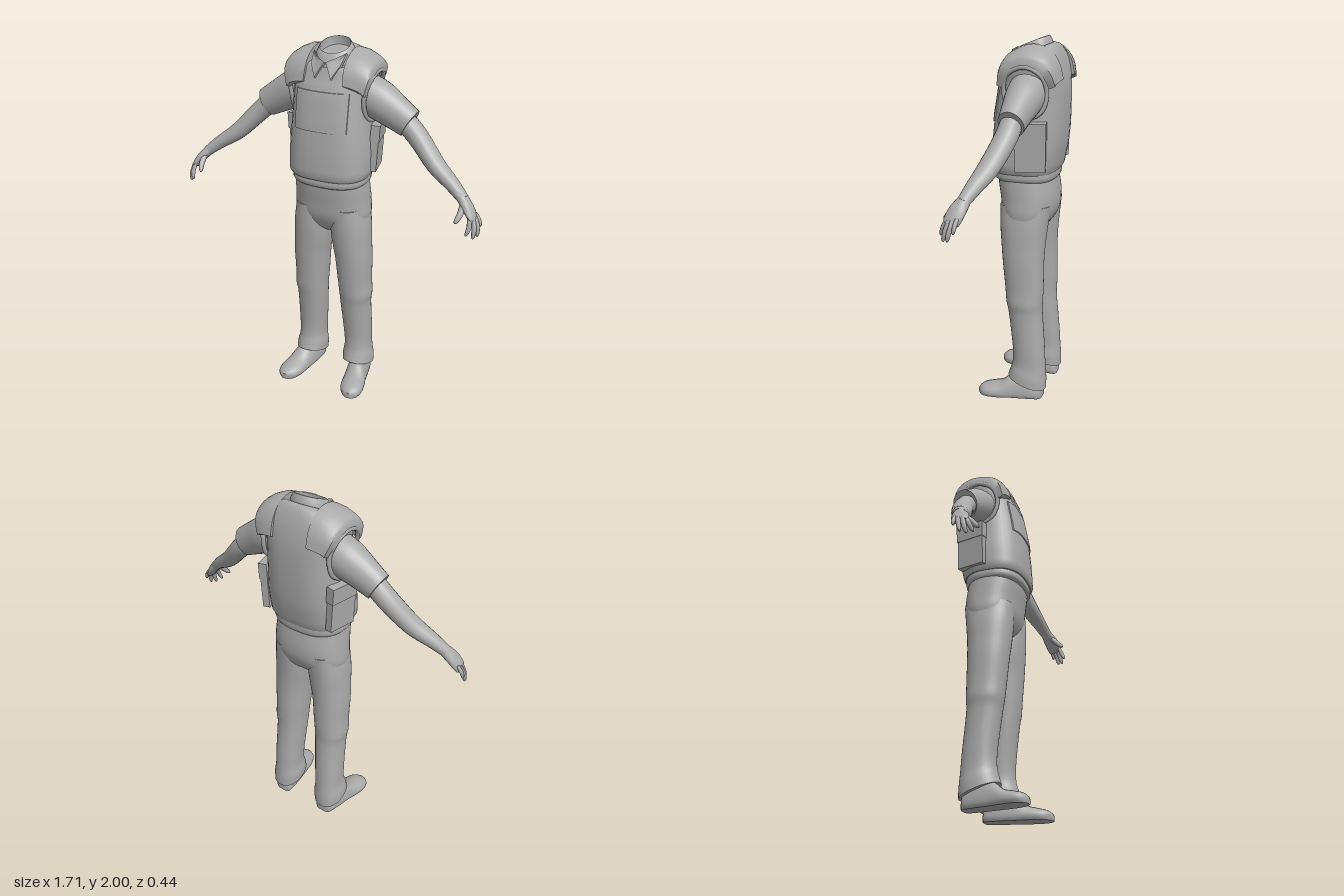
import * as THREE from 'three';
import { toCreasedNormals } from 'three/addons/utils/BufferGeometryUtils.js';

const grey = new THREE.MeshStandardMaterial({ color: 0xaaaaaa });
grey.name = 'plain grey';
const V = (x, y, z) => new THREE.Vector3(x, y, z);

// Refines a list of rings with a smooth curve through each column of points
function smooth(rings, k = 4) {
  const cols = rings[0].map((_, i) => new THREE.CatmullRomCurve3(rings.map(r => r[i]), false, 'catmullrom', 0.5));
  const n = (rings.length - 1) * k;
  return Array.from({ length: n + 1 }, (_, j) => cols.map(c => c.getPoint(j / n)));
}

// Closed skin over rings with both ends capped; side = -1 mirrors it
function loft(name, rings, { side = 1, crease = 0.75 } = {}) {
  const n = rings[0].length, pos = [], idx = [];
  for (const r of rings) for (const p of r) pos.push(p.x * side, p.y, p.z);
  for (let j = 0; j < rings.length - 1; j++) for (let i = 0; i < n; i++) {
    const a = j * n + i, b = j * n + (i + 1) % n;
    idx.push(a, b, a + n, b, b + n, a + n);
  }
  for (const end of [0, rings.length - 1]) {
    const c = rings[end].reduce((s, p) => s.add(p), V(0, 0, 0)).divideScalar(n);
    const ci = pos.length / 3;
    pos.push(c.x * side, c.y, c.z);
    for (let i = 0; i < n; i++) {
      const a = end * n + i, b = end * n + (i + 1) % n;
      if (end) idx.push(a, b, ci); else idx.push(b, a, ci);
    }
  }
  // Turn the skin outward when its signed volume is negative
  const at = i => V(pos[i * 3], pos[i * 3 + 1], pos[i * 3 + 2]);
  let vol = 0;
  for (let i = 0; i < idx.length; i += 3) vol += at(idx[i]).dot(at(idx[i + 1]).cross(at(idx[i + 2])));
  if (vol < 0) idx.reverse();
  const g = new THREE.BufferGeometry();
  g.setAttribute('position', new THREE.Float32BufferAttribute(pos, 3));
  g.setIndex(idx);
  return named(name, toCreasedNormals(g, crease));
}

function named(name, geometry) {
  const m = new THREE.Mesh(geometry, grey);
  m.name = name;
  return m;
}

// Horizontal rounded section between x0..x1 and zb..zf, optionally tilted
function section([y, x0, x1, zf, zb, tilt = 0], n = 2.4, count = 36) {
  const cx = (x0 + x1) / 2, rx = (x1 - x0) / 2, cz = (zf + zb) / 2, rz = (zf - zb) / 2;
  const pw = v => Math.sign(v) * Math.abs(v) ** (2 / n);
  return Array.from({ length: count }, (_, i) => {
    const t = i / count * Math.PI * 2, z = rz * pw(Math.sin(t));
    return V(cx + rx * pw(Math.cos(t)), y + tilt * z, cz + z);
  });
}
const sym = rows => rows.map(([y, r, ...rest]) => [y, -r, r, ...rest]);

// Rounded limb along a path of [x, y, z, half width toward z, half thickness]
function limb(name, path, side, count = 18, k = 4) {
  const pts = path.map(p => V(...p));
  const rings = path.map(([, , , a, b], j) => {
    const t = pts[Math.min(j + 1, pts.length - 1)].clone().sub(pts[Math.max(j - 1, 0)]).normalize();
    const u = V(0, 0, 1).addScaledVector(t, -t.z).normalize();
    const v = t.clone().cross(u);
    return Array.from({ length: count }, (_, i) => {
      const w = i / count * Math.PI * 2;
      return pts[j].clone().addScaledVector(u, a * Math.cos(w)).addScaledVector(v, b * Math.sin(w));
    });
  });
  return loft(name, smooth(rings, k), { side });
}

const vestRows = [
  [1.32, 0.222, 0.175, -0.185], [1.45, 0.222, 0.17, -0.21], [1.6, 0.212, 0.155, -0.22],
  [1.75, 0.208, 0.128, -0.22], [1.83, 0.222, 0.1, -0.207, -0.05], [1.88, 0.215, 0.085, -0.19, -0.12],
  [1.915, 0.165, 0.08, -0.165, -0.3], [1.925, 0.112, 0.075, -0.14, -0.45],
];
const VEST_N = 2.7;

// Front surface of the vest at a given x and y
function vestFront(x, y) {
  let i = 0;
  while (y > vestRows[i + 1][0]) i++;
  const a = vestRows[i], b = vestRows[i + 1], f = (y - a[0]) / (b[0] - a[0]);
  const [, r, zf, zb] = a.map((v, k) => v + (b[k] - v) * f);
  return (zf + zb) / 2 + (zf - zb) / 2 * (1 - Math.abs(x / r) ** VEST_N) ** (1 / VEST_N);
}

function torso(g) {
  const rows = vestRows.slice(0, 7).concat([[1.915, 0.112, 0.075, -0.14, -0.45]]);
  const hem = section([1.3, -0.21, 0.21, 0.165, -0.175], VEST_N);
  g.add(loft('vest', [hem, ...smooth(sym(rows).map((r, i) => section(r, i > 5 ? 2.2 : VEST_N)))]));

  // Chest panel wrapped on the vest
  const xs = Array.from({ length: 13 }, (_, i) => -0.145 + 0.29 * i / 12);
  const panel = [1.565, 1.6, 1.65, 1.7, 1.75, 1.765].map(y => [
    ...xs.map(x => V(x, y, vestFront(x, y) + 0.007)),
    ...xs.slice().reverse().map(x => V(x, y, vestFront(x, y) - 0.004)),
  ]);
  g.add(loft('chestPanel', panel));

  // Shirt hem below the vest
  g.add(loft('shirtHem', smooth(sym([
    [1.25, 0.185, 0.14, -0.16], [1.265, 0.203, 0.158, -0.17], [1.29, 0.208, 0.16, -0.172], [1.33, 0.2, 0.15, -0.17],
  ]).map(r => section(r, 2.6)))));

  // Collar with a hollow neck
  g.add(loft('collar', sym([
    [1.88, 0.108, 0.075, -0.135, -0.5], [1.93, 0.1, 0.062, -0.13, -0.42], [1.965, 0.084, 0.04, -0.115, -0.4],
    [1.968, 0.079, 0.034, -0.11, -0.4], [1.9, 0.084, 0.04, -0.115, -0.4], [1.86, 0.06, 0.02, -0.09, -0.3],
  ]).map(r => section(r, 2.1))));
}

function torsoSide(g, side) {
  // Shoulder strap running from chest over to the back: [y, z, inner x, outer x, outer drop]
  const strap = [
    [1.8, 0.098, 0.11, 0.215, 0.035], [1.86, 0.083, 0.105, 0.232, 0.03], [1.91, 0.045, 0.105, 0.238, 0.04],
    [1.942, -0.02, 0.105, 0.24, 0.055], [1.948, -0.09, 0.105, 0.24, 0.06], [1.92, -0.155, 0.105, 0.235, 0.05],
    [1.86, -0.195, 0.105, 0.225, 0.03], [1.79, -0.212, 0.105, 0.2, 0.02],
  ];
  const rings = strap.map(([y, z, xi, xo, d]) => {
    const out = V(0, y - 1.76, z + 0.06).normalize().multiplyScalar(0.012);
    const row = (s, e) => [0, 0.35, 0.7, 0.92, 1].map(f => {
      const c = -0.06 + (z + 0.06) * (1 - 0.1 * f * f);
      return V(xi + (xo - xi) * f, y - d * f * f - (f === 1 ? 0.006 : 0) + s * out.y - e, c + s * out.z);
    });
    return [...row(1, 0), ...row(-2, 0.008).reverse()];
  });
  g.add(loft('shoulderStrap', smooth(rings, 3), { side, crease: 0.9 }));

  // Rolled armhole edge
  const rim = [[0.235, 1.86, -0.06], [0.225, 1.82, 0.035], [0.205, 1.73, 0.06], [0.205, 1.63, 0.02],
    [0.207, 1.6, -0.06], [0.205, 1.64, -0.14], [0.2, 1.74, -0.165], [0.222, 1.82, -0.14]];
  const curve = new THREE.CatmullRomCurve3(rim.map(([x, y, z]) => V(x * side, y, z)), true);
  g.add(named('armholeEdge', new THREE.TubeGeometry(curve, 48, 0.012, 8, true)));

  // Side pouch with a flap
  const pouch = new THREE.Group();
  pouch.name = 'sidePouch';
  const body = named('pouchBody', new THREE.BoxGeometry(0.04, 0.25, 0.16));
  const flap = named('pouchFlap', new THREE.BoxGeometry(0.048, 0.09, 0.168));
  flap.position.y = 0.085;
  pouch.add(body, flap);
  pouch.position.set(0.221 * side, 1.455, -0.085);
  pouch.rotation.set(0, 0.2 * side, -0.06 * side);
  g.add(pouch);

  // Collar wing lying on the chest
  const wing = [V(0.004, 1.905, 0.082), V(0.05, 1.925, 0.068), V(0.09, 1.945, 0.02), V(0.08, 1.89, 0.075), V(0.045, 1.832, 0.112)];
  g.add(loft('collarWing', [wing, wing.map(p => p.clone().add(V(0, -0.012, -0.018)))], { side }));
}

function arm(g, side) {
  g.add(limb('sleeve', [[0.14, 1.75, -0.06, 0.1, 0.1], [0.24, 1.705, -0.06, 0.097, 0.102],
    [0.33, 1.655, -0.055, 0.08, 0.09], [0.412, 1.608, -0.052, 0.067, 0.078]], side, 28));
  g.add(limb('forearm', [[0.36, 1.64, -0.05, 0.055, 0.058], [0.46, 1.55, -0.042, 0.058, 0.053],
    [0.58, 1.43, 0, 0.054, 0.046], [0.68, 1.36, 0.035, 0.042, 0.036], [0.75, 1.305, 0.062, 0.032, 0.028]], side));
  g.add(limb('palm', [[0.735, 1.318, 0.056, 0.032, 0.028], [0.78, 1.272, 0.077, 0.044, 0.025],
    [0.812, 1.228, 0.093, 0.043, 0.018], [0.819, 1.215, 0.097, 0.034, 0.01]], side));
  // Base and tip of each finger, with its thickness
  const fingers = {
    thumb: [[0.755, 1.29, 0.085], [0.742, 1.213, 0.16], 0.015],
    indexFinger: [[0.803, 1.24, 0.118], [0.8, 1.155, 0.155], 0.0115],
    middleFinger: [[0.815, 1.235, 0.104], [0.83, 1.135, 0.132], 0.012],
    ringFinger: [[0.82, 1.235, 0.084], [0.845, 1.14, 0.105], 0.0115],
    littleFinger: [[0.815, 1.245, 0.064], [0.848, 1.18, 0.072], 0.01],
  };
  for (const [name, [a, b, r]] of Object.entries(fingers)) {
    const path = [[0, 1], [0.5, 1.05], [0.88, 0.8], [1, 0.25]].map(([f, s]) => {
      const p = V(...a).lerp(V(...b), f);
      return [p.x + 0.008 * Math.sin(f * Math.PI), p.y, p.z, r * s, r * s];
    });
    g.add(limb(name, path, side, 10, 2));
  }
}

function leg(g, side) {
  g.add(loft('trouserLeg', smooth([
    [1.12, 0.004, 0.2, 0.115, -0.16], [1, 0.002, 0.217, 0.113, -0.145], [0.9, 0.012, 0.222, 0.105, -0.135],
    [0.8, 0.028, 0.227, 0.095, -0.13], [0.65, 0.041, 0.226, 0.08, -0.13], [0.57, 0.048, 0.23, 0.072, -0.128],
    [0.5, 0.052, 0.222, 0.06, -0.127], [0.3, 0.066, 0.224, 0.036, -0.143], [0.2, 0.072, 0.225, 0.036, -0.15, 0.15],
    [0.14, 0.064, 0.236, 0.046, -0.155, 0.3], [0.09, 0.066, 0.239, 0.06, -0.155, 0.33],
  ].map(r => section(r, 2.2))), { side }));

  // Shoe sections from heel to toe: [z, centre x, half width, height]
  const shoe = [[-0.137, 0.15, 0.03, 0.06], [-0.12, 0.152, 0.052, 0.1], [-0.05, 0.162, 0.06, 0.14], [0.03, 0.175, 0.063, 0.13],
    [0.09, 0.188, 0.068, 0.085], [0.15, 0.198, 0.067, 0.068], [0.195, 0.204, 0.052, 0.055], [0.22, 0.206, 0.02, 0.035]];
  g.add(loft('shoe', smooth(shoe.map(([z, x, w, h]) => Array.from({ length: 24 }, (_, i) => {
    const t = i / 24 * Math.PI * 2, s = Math.sin(t);
    return V(x + w * Math.cos(t), s > 0 ? 0.025 + (h - 0.025) * s : 0.025 * (1 - Math.min(1, -s * 2.5)), z);
  })), 3), { side }));
}

export function createModel() {
  const model = new THREE.Group();
  model.name = 'uniformedFigure';
  torso(model);
  // Seat of the trousers
  model.add(loft('trouserSeat', smooth(sym([
    [1.3, 0.195, 0.145, -0.155], [1.24, 0.202, 0.143, -0.165], [1.15, 0.208, 0.13, -0.175],
    [1.07, 0.212, 0.118, -0.165], [1, 0.19, 0.085, -0.125], [0.96, 0.12, 0.04, -0.07],
  ]).map(r => section(r, 2.4)))));
  for (const side of [1, -1]) {
    const half = new THREE.Group();
    half.name = side > 0 ? 'leftSide' : 'rightSide';
    torsoSide(half, side);
    arm(half, side);
    leg(half, side);
    model.add(half);
  }
  return model;
}
